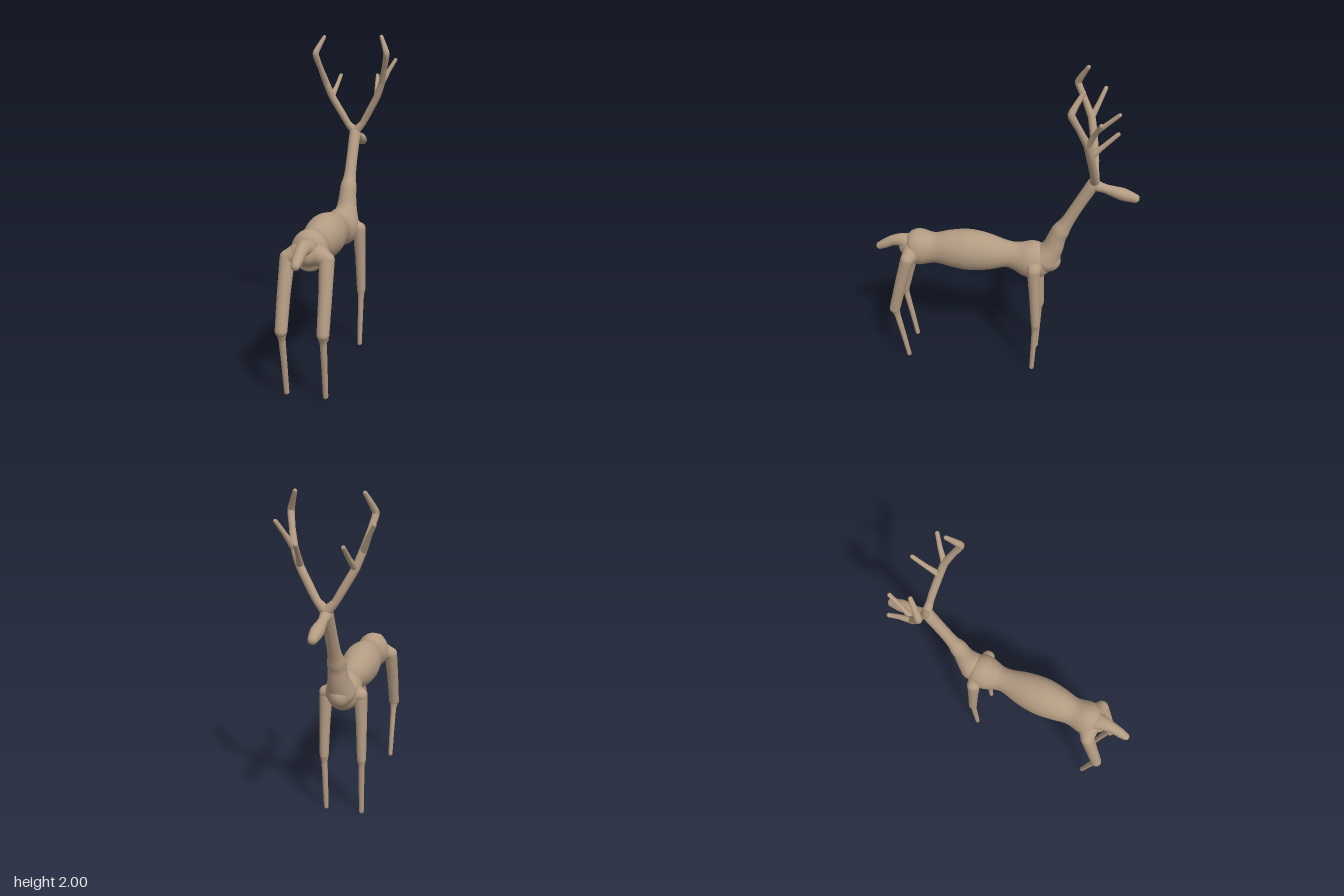
import * as THREE from 'three';

const coat = new THREE.MeshStandardMaterial({ color: 0xb39b82 });
coat.name = 'tan coat';

// Round-ended tube through [x, y, z, radius] points; widthScale flattens it sideways
function limb(name, pts, { widthScale = 1, tension = 0.5, sides = 20, steps = 6 } = {}) {
  const path = new THREE.CatmullRomCurve3(pts.map(p => new THREE.Vector3(p[0], p[1], p[2])), false, 'catmullrom', tension);
  const size = new THREE.CatmullRomCurve3(pts.map(p => new THREE.Vector3(p[3], 0, 0)), false, 'catmullrom', tension);
  const ref = pts.every(p => p[0] === 0) ? new THREE.Vector3(1, 0, 0) : new THREE.Vector3(0, 0, 1);
  const rings = [];
  const addRing = (t, along, scale) => {
    const T = path.getTangent(t);
    const r = size.getPoint(t).x;
    rings.push({ c: path.getPoint(t).addScaledVector(T, along * r), T, r: r * scale });
  };
  const n = (pts.length - 1) * steps, cap = 6;
  for (let i = 0; i < cap; i++) {
    const a = (i / cap) * Math.PI / 2;
    addRing(0, -Math.cos(a), Math.sin(a));
  }
  for (let i = 0; i <= n; i++) addRing(i / n, 0, 1);
  for (let i = 1; i <= cap; i++) {
    const a = (i / cap) * Math.PI / 2;
    addRing(1, Math.sin(a), Math.cos(a));
  }
  const pos = [], idx = [];
  rings.forEach(({ c, T, r }, i) => {
    const N = ref.clone().addScaledVector(T, -ref.dot(T)).normalize();
    const B = T.clone().cross(N);
    for (let j = 0; j < sides; j++) {
      const a = (j / sides) * Math.PI * 2;
      const v = c.clone().addScaledVector(N, Math.cos(a) * r * widthScale).addScaledVector(B, Math.sin(a) * r);
      pos.push(v.x, v.y, v.z);
      if (i < rings.length - 1) {
        const k = (j + 1) % sides, p = i * sides, q = p + sides;
        idx.push(p + j, p + k, q + j, p + k, q + k, q + j);
      }
    }
  });
  const geo = new THREE.BufferGeometry();
  geo.setAttribute('position', new THREE.Float32BufferAttribute(pos, 3));
  geo.setIndex(idx);
  geo.computeVertexNormals();
  const mesh = new THREE.Mesh(geo, coat);
  mesh.name = name;
  return mesh;
}

export function createModel() {
  const model = new THREE.Group();
  model.name = 'stag';

  // Torso: rump, barrel, waist and chest
  model.add(limb('torso', [
    [0, 0.815, 0.585, 0.07], [0, 0.818, 0.56, 0.108], [0, 0.819, 0.51, 0.118], [0, 0.821, 0.42, 0.1],
    [0, 0.827, 0.32, 0.12], [0, 0.829, 0.21, 0.133], [0, 0.826, 0.09, 0.12], [0, 0.823, -0.03, 0.088],
    [0, 0.815, -0.09, 0.091], [0, 0.803, -0.17, 0.119], [0, 0.8, -0.24, 0.113], [0, 0.805, -0.295, 0.075],
  ], { widthScale: 0.88, sides: 32 }));

  // Neck, swelling at the shoulders
  model.add(limb('neck', [
    [0, 0.82, -0.27, 0.09], [0, 0.9, -0.315, 0.066], [0, 0.98, -0.34, 0.055], [0, 1.03, -0.362, 0.053],
    [0, 1.09, -0.395, 0.04], [0, 1.2, -0.45, 0.036], [0, 1.355, -0.532, 0.037],
  ], { sides: 24 }));

  model.add(limb('head', [
    [0, 1.355, -0.535, 0.036], [0, 1.336, -0.6, 0.027], [0, 1.322, -0.65, 0.032],
    [0, 1.306, -0.71, 0.037], [0, 1.287, -0.777, 0.027],
  ]));

  model.add(limb('tail', [
    [0, 0.83, 0.56, 0.07], [0, 0.855, 0.63, 0.045], [0, 0.847, 0.69, 0.034],
    [0, 0.818, 0.745, 0.03], [0, 0.798, 0.782, 0.024],
  ]));

  // Paired parts
  for (const s of [1, -1]) {
    const side = s > 0 ? 'Left' : 'Right';
    const add = (name, pts, opts) =>
      model.add(limb(name + side, pts.map(([x, y, z, r]) => [x * s, y, z, r]), opts));
    const stiff = { tension: 0.2, sides: 16 };

    // Hind leg
    add('hip', [[0.04, 0.81, 0.55, 0.07], [0.112, 0.785, 0.575, 0.043]]);
    add('hindThigh', [[0.112, 0.785, 0.575, 0.043], [0.117, 0.6, 0.628, 0.038], [0.118, 0.4, 0.68, 0.035]], stiff);
    add('hindShin', [
      [0.118, 0.4, 0.68, 0.034], [0.117, 0.345, 0.668, 0.02], [0.115, 0.18, 0.638, 0.017], [0.113, 0.016, 0.611, 0.015],
    ], stiff);

    // Front leg
    add('shoulder', [[0.04, 0.8, -0.21, 0.07], [0.106, 0.785, -0.218, 0.041]]);
    add('frontThigh', [[0.106, 0.785, -0.215, 0.041], [0.113, 0.6, -0.225, 0.033], [0.117, 0.39, -0.236, 0.028]], stiff);
    add('frontShin', [
      [0.117, 0.38, -0.236, 0.028], [0.117, 0.33, -0.233, 0.019], [0.115, 0.18, -0.227, 0.017], [0.113, 0.016, -0.219, 0.015],
    ], stiff);

    // Antler beam and its two tines
    add('antlerBeam', [
      [0.005, 1.375, -0.54, 0.03], [0.05, 1.425, -0.538, 0.022], [0.082, 1.48, -0.532, 0.023], [0.15, 1.6, -0.512, 0.023],
      [0.185, 1.69, -0.492, 0.022], [0.212, 1.79, -0.445, 0.018], [0.232, 1.88, -0.402, 0.02], [0.188, 1.985, -0.457, 0.012],
    ], stiff);
    add('innerTine', [[0.15, 1.605, -0.512, 0.019], [0.136, 1.67, -0.58, 0.014], [0.126, 1.738, -0.65, 0.012]], stiff);
    add('outerTine', [[0.185, 1.685, -0.492, 0.019], [0.224, 1.77, -0.53, 0.014], [0.262, 1.84, -0.56, 0.012]], stiff);
  }
  return model;
}
